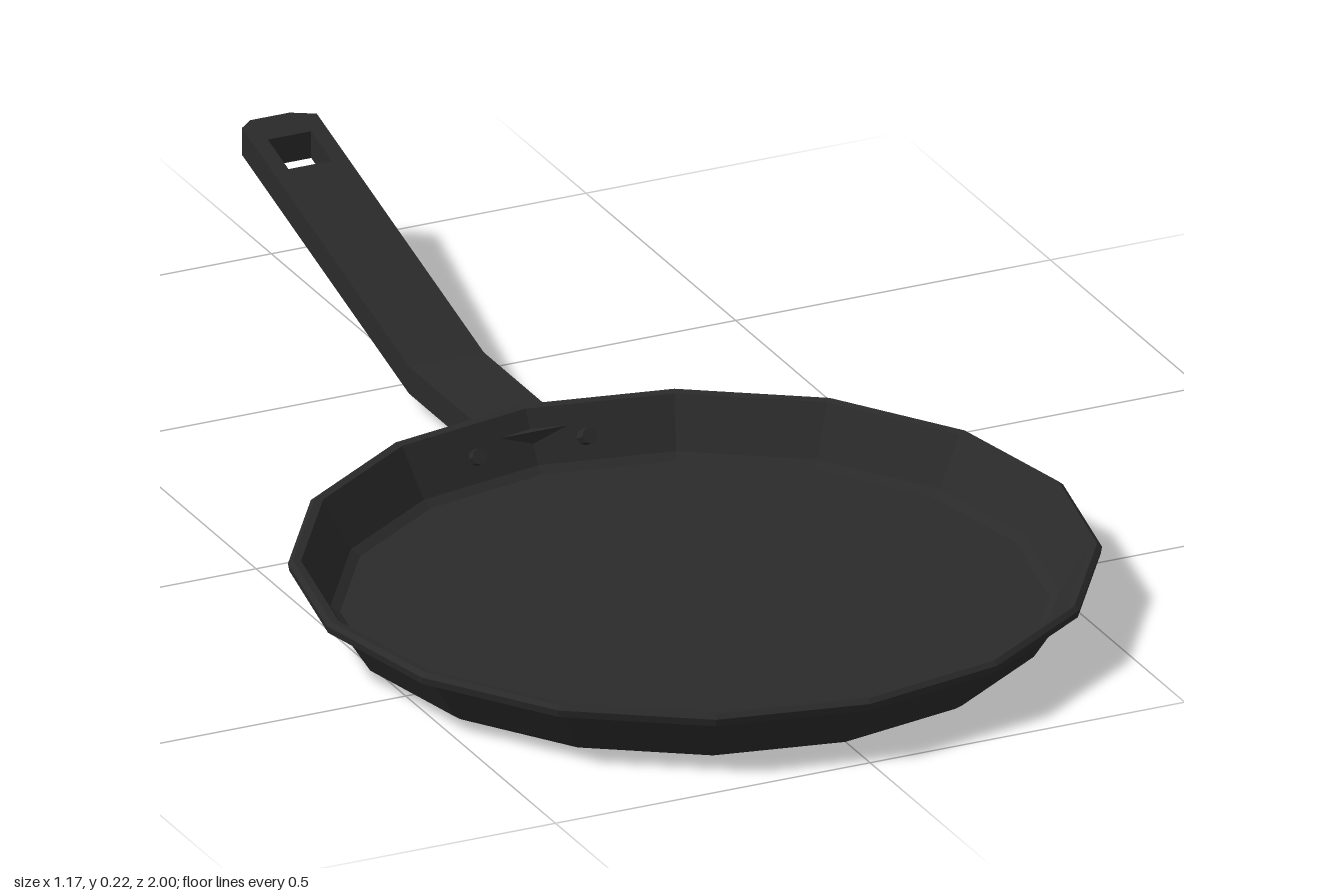
import * as THREE from 'three';

const iron = new THREE.MeshStandardMaterial({ color: 0x2a2a2a });
iron.name = 'dark iron';

// Faceted mesh with one normal per face
function part(name, geometry, parent) {
  const g = geometry.toNonIndexed();
  g.computeVertexNormals();
  const mesh = new THREE.Mesh(g, iron);
  mesh.name = name;
  parent.add(mesh);
  return mesh;
}

// Box whose front and back ends are the given sections { z, l, r, b, t }
function loft(front, back) {
  const g = new THREE.BoxGeometry(1, 1, 1);
  const p = g.attributes.position;
  for (let i = 0; i < p.count; i++) {
    const s = p.getZ(i) > 0 ? front : back;
    p.setXYZ(i, p.getX(i) < 0 ? s.l : s.r, p.getY(i) < 0 ? s.b : s.t, s.z);
  }
  return g;
}

export function createModel() {
  const model = new THREE.Group();
  model.name = 'fryingPan';
  const centreZ = 0.415;

  // Pan body: underside, sloping wall, lip, inner wall and floor
  const profile = [
    [0, 0], [0.503, 0], [0.516, 0.009], [0.562, 0.08], [0.583, 0.081], [0.585, 0.092],
    [0.578, 0.098], [0.566, 0.096], [0.524, 0.024], [0.51, 0.015], [0, 0.015],
  ].map(([x, y]) => new THREE.Vector2(x, y));
  part('panBody', new THREE.LatheGeometry(profile, 16), model).position.z = centreZ;

  // Handle: flat root, rising grip, split rails round the hanging hole, tapered tip
  const handle = new THREE.Group();
  handle.name = 'handle';
  model.add(handle);
  const section = (z, l = -0.062, r = 0.057) => {
    const rise = Math.max(0, -0.41 - z) * 0.272;
    return { z, l, r, b: 0.028 + rise, t: 0.07 + rise };
  };
  const bend = -0.41, holeFront = -0.865, holeBack = -0.934, shoulder = -0.968;
  part('handleRoot', loft(section(-0.125), section(bend)), handle);
  part('handleGrip', loft(section(bend), section(holeFront)), handle);
  for (const [l, r] of [[-0.062, -0.037], [0.032, 0.057]]) {
    part('holeRail', loft(section(holeFront, l, r), section(holeBack, l, r)), handle);
  }
  part('handleEnd', loft(section(holeBack), section(shoulder)), handle);
  part('handleTip', loft(section(shoulder), { z: -1, l: -0.034, r: 0.029, b: 0.192, t: 0.216 }), handle);

  // Rivets through the wall either side of the handle
  for (const x of [-0.1, 0.075]) {
    const rivet = part('rivet', new THREE.CylinderGeometry(0.012, 0.012, 0.045, 8), model);
    rivet.rotation.x = Math.PI / 2 - 0.5;
    rivet.position.set(x, 0.052, -0.113);
  }
  return model;
}
